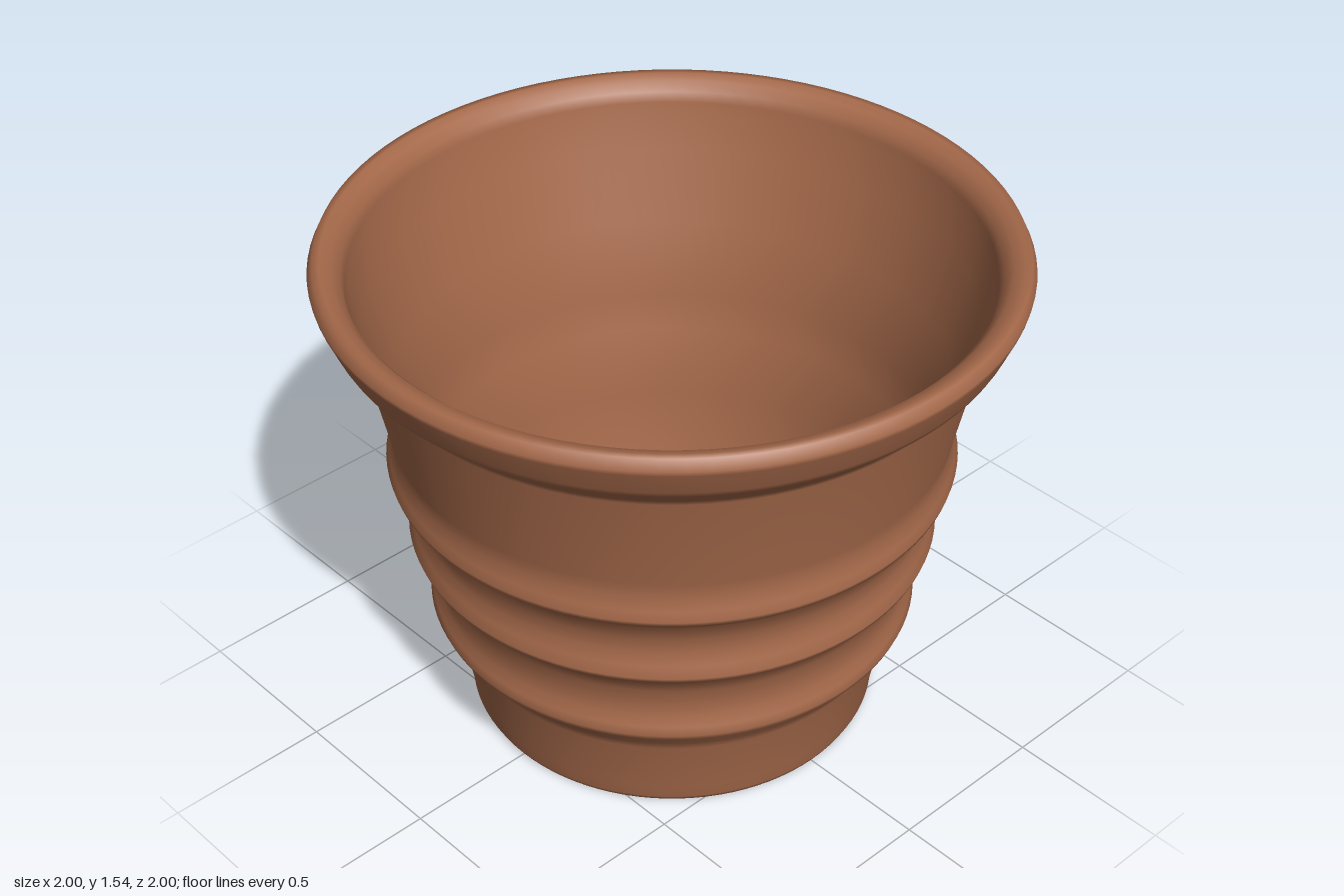
import * as THREE from 'three';

// Ribbed flower pot: one closed profile turned around the y axis
export function createModel() {
  const group = new THREE.Group();
  group.name = 'flowerPot';
  const terracotta = new THREE.MeshStandardMaterial({ color: 0xa5694a });
  terracotta.name = 'terracotta';

  const profile = [
    // underside and foot
    [0, 0], [0.59, 0], [0.606, 0.003], [0.615, 0.02], [0.618, 0.06],
    // lower wall and first rib
    [0.655, 0.25], [0.675, 0.29], [0.718, 0.345], [0.726, 0.365], [0.718, 0.39], [0.706, 0.42],
    // second rib
    [0.702, 0.46], [0.71, 0.52], [0.735, 0.57], [0.772, 0.61], [0.777, 0.625], [0.765, 0.66],
    // third rib
    [0.753, 0.7], [0.757, 0.75], [0.778, 0.81], [0.823, 0.855], [0.827, 0.87], [0.818, 0.9],
    // upper wall
    [0.807, 0.94], [0.812, 0.99], [0.845, 1.15], [0.88, 1.31], [0.888, 1.328],
    // flared rim
    [0.955, 1.395], [0.966, 1.415], [0.997, 1.49], [1, 1.505], [0.985, 1.536], [0.965, 1.536],
    [0.935, 1.525], [0.91, 1.5], [0.9, 1.47],
    // inner wall, stepping in gently
    [0.896, 1.43], [0.865, 1.32], [0.80, 1.1], [0.753, 0.95], [0.75, 0.87],
    [0.72, 0.76], [0.685, 0.62], [0.683, 0.54],
    // rounded floor
    [0.65, 0.35], [0.60, 0.14], [0.575, 0.085], [0.54, 0.065], [0.5, 0.06], [0, 0.06],
  ].map(([r, y]) => new THREE.Vector2(r, y));

  const pot = new THREE.Mesh(new THREE.LatheGeometry(profile, 96), terracotta);
  pot.name = 'pot';
  group.add(pot);
  return group;
}
